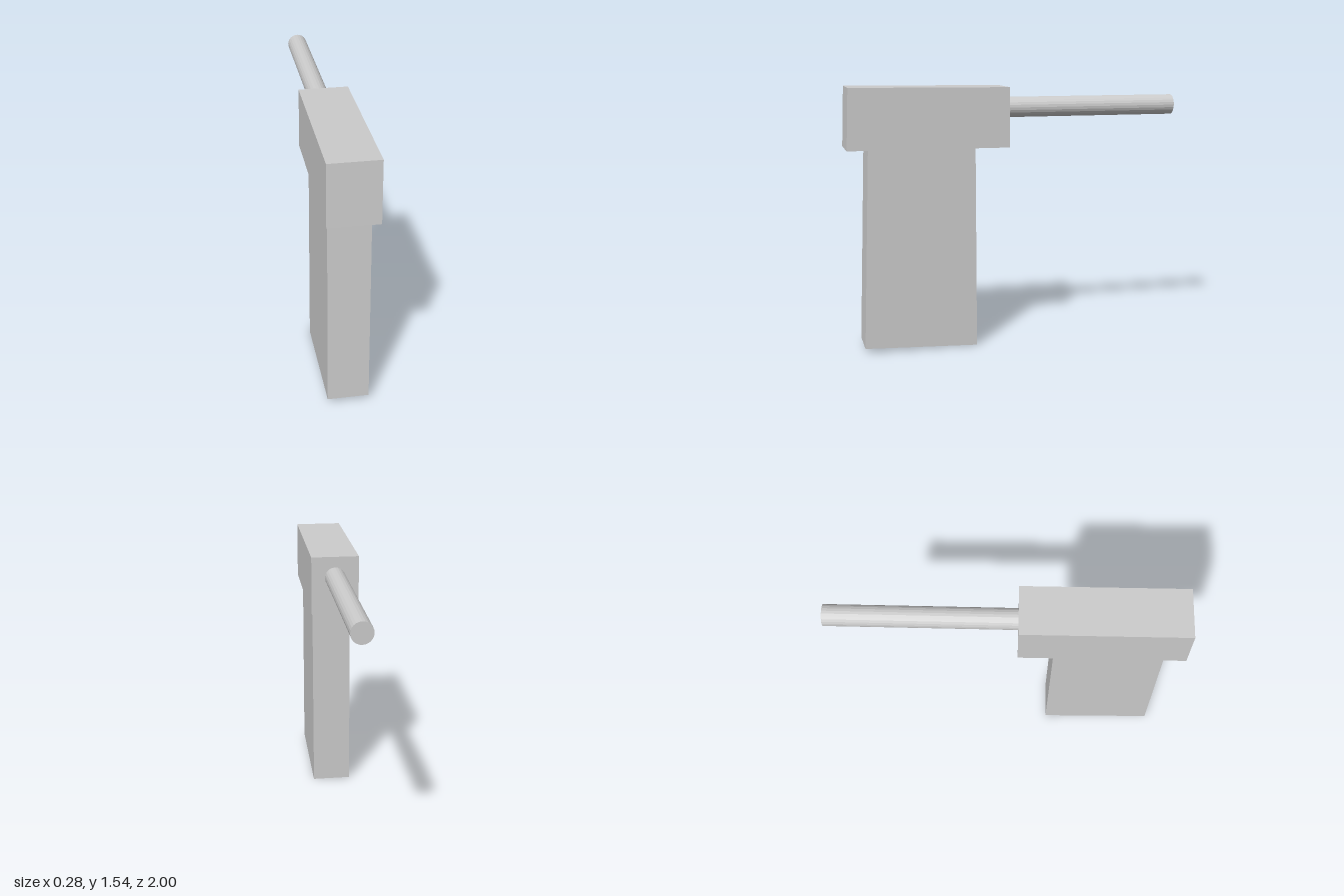
import * as THREE from 'three';

const material = new THREE.MeshStandardMaterial({ color: 0xcccccc, flatShading: true });

// Slab with a side outline of [z, y] corners, centred across x
function slab(name, outline, width) {
  const shape = new THREE.Shape(outline.map(([z, y]) => new THREE.Vector2(z, y)));
  const geometry = new THREE.ExtrudeGeometry(shape, { depth: width, bevelEnabled: false });
  geometry.translate(0, 0, -width / 2).rotateY(-Math.PI / 2);
  const mesh = new THREE.Mesh(geometry, material);
  mesh.name = name;
  return mesh;
}

export function createModel() {
  const model = new THREE.Group();
  model.name = 'model';

  // Upper block, its front face leaning slightly back
  model.add(slab('body', [[1, 1.19], [0.985, 1.54], [0.06, 1.533], [0.06, 1.185]], 0.28));

  // Tapered grip with a sloping foot
  model.add(slab('handle', [[0.925, 0.03], [0.88, 1.19], [0.26, 1.187], [0.26, 0]], 0.232));

  // Round rod running to the back
  const rod = new THREE.CylinderGeometry(0.06, 0.06, 1.06, 24).rotateX(Math.PI / 2);
  const barrel = new THREE.Mesh(rod, material);
  barrel.name = 'barrel';
  barrel.position.set(0, 1.41, -0.47);
  model.add(barrel);

  return model;
}
